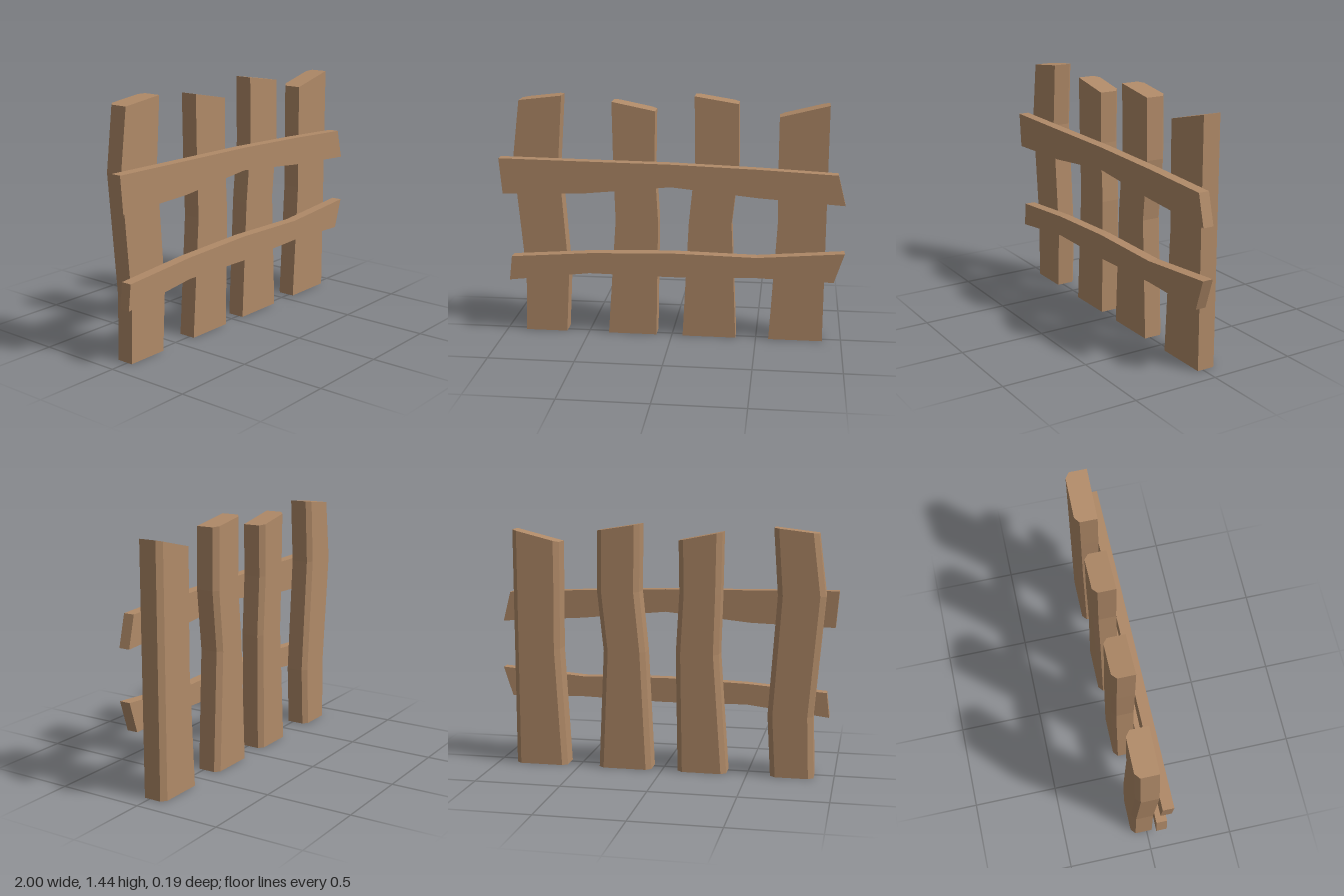
import * as THREE from 'three';

const FRONT = 0.032, CHAMFER_Z = -0.07, BACK = -0.095, CHAMFER = 0.03;

// Upright plank lofted through rows of [left x, right x, left y, right y],
// with both back edges chamfered.
function picketGeometry(rows) {
  const rings = rows.map(([l, r, yl, yr = yl]) =>
    [[l, FRONT], [r, FRONT], [r, CHAMFER_Z], [r - CHAMFER, BACK], [l + CHAMFER, BACK], [l, CHAMFER_Z]]
      .map(([x, z]) => new THREE.Vector3(x, yl + (yr - yl) * (x - l) / (r - l), z)));
  const points = [];
  const n = 6;
  for (let k = 0; k < rings.length - 1; k++) {
    const low = rings[k], high = rings[k + 1];
    for (let i = 0; i < n; i++) {
      const j = (i + 1) % n;
      points.push(low[i], low[j], high[j], low[i], high[j], high[i]);
    }
  }
  // end caps
  const bottom = rings[0], top = rings[rings.length - 1];
  for (let i = 1; i < n - 1; i++) {
    points.push(top[0], top[i], top[i + 1], bottom[0], bottom[i + 1], bottom[i]);
  }
  const geometry = new THREE.BufferGeometry().setFromPoints(points);
  geometry.computeVertexNormals();
  return geometry;
}

// Crooked rail cut from a flat outline
function railGeometry(topEdge, bottomEdge) {
  const outline = [...bottomEdge, ...topEdge.slice().reverse()].map(([x, y]) => new THREE.Vector2(x, y));
  const geometry = new THREE.ExtrudeGeometry(new THREE.Shape(outline), { depth: 0.063, bevelEnabled: false });
  return geometry.translate(0, 0, FRONT);
}

export function createModel() {
  const group = new THREE.Group();
  group.name = 'fence';
  const wood = new THREE.MeshStandardMaterial({ color: 0xb08a68, flatShading: true });
  wood.name = 'wood';

  const add = (name, geometry) => {
    const mesh = new THREE.Mesh(geometry, wood);
    mesh.name = name;
    group.add(mesh);
  };

  // Four uneven pickets
  const pickets = [
    [[-0.885, -0.635, 0], [-0.873, -0.615, 0.36], [-0.93, -0.662, 1.05], [-0.885, -0.635, 1.4, 1.43]],
    [[-0.38, -0.092, 0], [-0.33, -0.08, 0.7], [-0.34, -0.1, 1.05], [-0.345, -0.095, 1.4, 1.35]],
    [[0.065, 0.38, 0], [0.1, 0.348, 0.7], [0.135, 0.385, 1.05], [0.13, 0.38, 1.44, 1.4]],
    [[0.575, 0.89, 0], [0.614, 0.89, 0.7], [0.61, 0.89, 1.05], [0.61, 0.89, 1.33, 1.4]],
  ];
  pickets.forEach((rows, i) => add(`picket${i + 1}`, picketGeometry(rows)));

  // Two rails across the front
  add('upperRail', railGeometry(
    [[-1, 1.07], [-0.5, 1.063], [0, 1.057], [0.5, 1.04], [0.948, 1.018]],
    [[-0.983, 0.86], [-0.5, 0.875], [0, 0.925], [0.5, 0.875], [0.993, 0.843]]));
  add('lowerRail', railGeometry(
    [[-0.943, 0.48], [-0.48, 0.515], [0, 0.53], [0.5, 0.52], [1, 0.56]],
    [[-0.96, 0.335], [-0.48, 0.392], [0, 0.385], [0.5, 0.398], [0.943, 0.385]]));

  return group;
}
